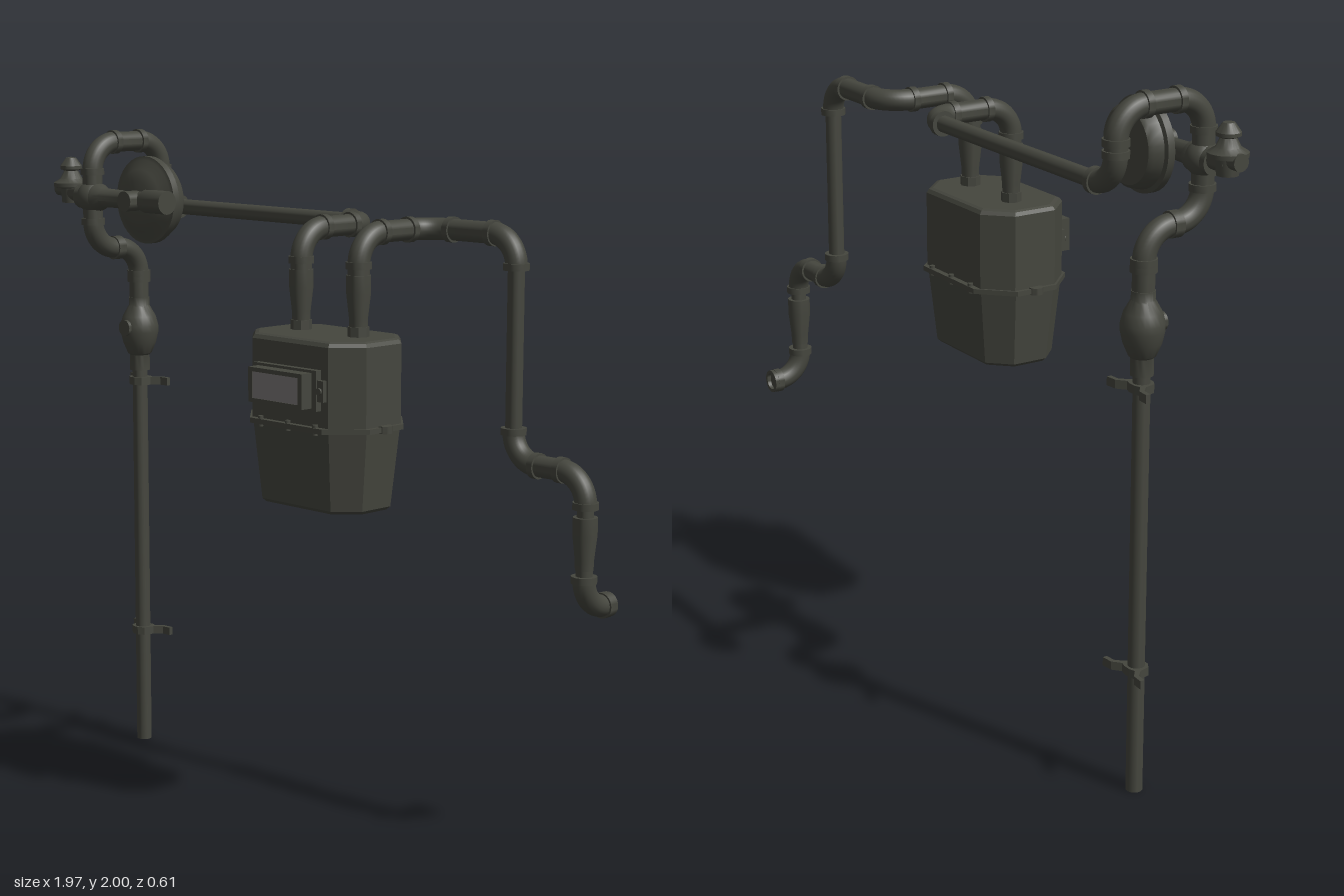
import * as THREE from 'three';
import { toCreasedNormals } from 'three/addons/utils/BufferGeometryUtils.js';

const V = (x, y, z) => new THREE.Vector3(x, y, z);
const UP = V(0, 1, 0);

export function createModel() {
  const root = new THREE.Group();
  const metal = new THREE.MeshStandardMaterial({ color: 0x45463e });
  metal.name = 'dark grey metal';
  const glass = new THREE.MeshStandardMaterial({ color: 0x7d7878 });
  glass.name = 'pale grey window';

  const add = (name, geometry, parent = root, material = metal) => {
    const mesh = new THREE.Mesh(geometry, material);
    mesh.name = name;
    parent.add(mesh);
    return mesh;
  };
  const group = (name) => {
    const g = new THREE.Group();
    g.name = name;
    root.add(g);
    return g;
  };
  // Turned part: [radius, distance] profile starting at a point, along a direction
  const turned = (name, profile, at, dir, parent, sides = 24) => {
    const lathe = new THREE.LatheGeometry(profile.map(([r, d]) => new THREE.Vector2(r, d)), sides);
    const mesh = add(name, toCreasedNormals(lathe, 0.6), parent);
    mesh.position.copy(at);
    mesh.quaternion.setFromUnitVectors(UP, dir);
    return mesh;
  };
  const rod = (name, a, b, r, parent) => {
    const d = b.clone().sub(a), len = d.length();
    return turned(name, [[0, 0], [r, 0], [r, len], [0, len]], a, d.normalize(), parent);
  };
  const box = (name, w, h, d, x, y, z, parent, material) => {
    const mesh = add(name, new THREE.BoxGeometry(w, h, d), parent, material);
    mesh.position.set(x, y, z);
    return mesh;
  };
  const collar = (at, dir, parent) =>
    rod('collar', at.clone().addScaledVector(dir, -0.01), at.clone().addScaledVector(dir, 0.01), 0.037, parent);

  // Pipe run: straight lengths joined by thicker elbows with collars
  const pipeRun = (name, corners, bend) => {
    const g = group(name);
    let start = corners[0];
    for (let i = 1; i < corners.length; i++) {
      const c = corners[i], inDir = c.clone().sub(corners[i - 1]).normalize();
      const last = i === corners.length - 1;
      const end = last ? c : c.clone().addScaledVector(inDir, -bend);
      const length = start.distanceTo(end);
      if (length > 0.005) rod('straightPipe', start, end, length > 0.2 ? 0.024 : 0.031, g);
      if (last) break;
      const outDir = corners[i + 1].clone().sub(c).normalize();
      const exit = c.clone().addScaledVector(outDir, bend);
      const arc = new THREE.CubicBezierCurve3(end,
        end.clone().addScaledVector(inDir, bend * 0.5523),
        exit.clone().addScaledVector(outDir, -bend * 0.5523), exit);
      add('elbow', new THREE.TubeGeometry(arc, 14, 0.032, 18), g);
      collar(end, inDir, g);
      collar(exit, outDir, g);
      start = exit;
    }
    return g;
  };

  pipeRun('supplyRiserBend', [V(-0.82, 1.47, -0.105), V(-0.82, 1.635, -0.105), V(-0.82, 1.635, 0.08),
    V(-0.82, 1.967, 0.08), V(-0.82, 1.967, -0.2), V(-0.82, 1.76, -0.2), V(0.125, 1.76, -0.2),
    V(0.125, 1.76, 0.09), V(0.125, 1.62, 0.09)], 0.088);
  pipeRun('outletPipe', [V(0.355, 1.62, 0.09), V(0.355, 1.76, 0.09), V(0.355, 1.76, -0.2),
    V(0.685, 1.76, -0.2), V(0.685, 1.12, -0.2), V(0.95, 1.12, -0.2), V(0.95, 0.735, -0.2),
    V(0.95, 0.735, -0.29)], 0.088);
  turned('outletEnd', [[0, 0], [0.036, 0], [0.036, 0.025], [0.026, 0.025], [0.026, 0.005], [0, 0.005]],
    V(0.95, 0.735, -0.285), V(0, 0, -1));

  // Tapered couplings above the meter and near the outlet
  const taper = [[0, 0], [0.026, 0], [0.027, 0.03], [0.035, 0.1], [0.035, 0.15], [0, 0.15]];
  for (const x of [0.125, 0.355]) {
    turned('taperedCoupling', taper, V(x, 1.495, 0.09), UP);
    turned('unionNut', [[0, 0], [0.031, 0], [0.031, 0.032], [0, 0.032]], V(x, 1.468, 0.09), UP, undefined, 8);
  }
  turned('outletCoupling', taper, V(0.95, 0.85, -0.2), UP);

  // Ground riser with ball valve
  const riser = group('riser');
  rod('riserPipe', V(-0.82, 0, -0.105), V(-0.82, 1.56, -0.105), 0.024, riser);
  turned('valveBody', [[0, 0], [0.032, 0], [0.032, 0.05], [0.038, 0.055], [0.053, 0.09], [0.061, 0.125],
    [0.061, 0.145], [0.053, 0.175], [0.036, 0.205], [0.033, 0.21], [0.033, 0.235], [0, 0.235]],
  V(-0.82, 1.235, -0.105), UP, riser);
  rod('valveSpindle', V(-0.82, 1.375, -0.09), V(-0.82, 1.375, -0.04), 0.026, riser);
  collar(V(-0.82, 1.53, -0.105), UP, riser);

  // Wall straps with swept-back wings
  const half = [[0.01, 0.032], [0.03, 0.02], [0.038, -0.012], [0.06, -0.034], [0.09, -0.036],
    [0.09, -0.05], [0.055, -0.047], [0.03, -0.026], [0.012, -0.032]];
  const outline = [...half, ...half.map(([x, z]) => [-x, z]).reverse()];
  const strapShape = new THREE.Shape(outline.map(([x, z]) => new THREE.Vector2(x, -z)));
  for (const y of [0.36, 1.188]) {
    const strap = add('wallStrap', new THREE.ExtrudeGeometry(strapShape, { depth: 0.025, bevelEnabled: false }), riser);
    strap.rotation.x = -Math.PI / 2;
    strap.position.set(-0.82, y, -0.105);
  }

  // Pressure regulator: diaphragm disc, body and relief valve
  const reg = group('regulator');
  const X = V(1, 0, 0), Z = V(0, 0, 1);
  turned('diaphragmHousing', [[0, 0], [0.105, 0], [0.115, 0.01], [0.122, 0.04], [0.134, 0.044], [0.134, 0.066],
    [0.122, 0.068], [0.095, 0.088], [0.06, 0.1], [0, 0.1]], V(-0.603, 1.8, -0.015), Z, reg, 36);
  rod('frontCap', V(-0.603, 1.8, 0.07), V(-0.603, 1.8, 0.137), 0.031, reg);
  turned('regulatorBody', [[0, 0], [0.038, 0], [0.038, 0.04], [0.042, 0.05], [0.042, 0.09], [0.03, 0.11],
    [0.027, 0.22], [0.03, 0.3], [0.036, 0.31], [0.036, 0.405], [0, 0.405]], V(-0.872, 1.8, 0.08), X, reg);
  const tee = add('teeJoint', new THREE.SphereGeometry(0.05, 24, 16), reg);
  tee.position.set(-0.82, 1.8, 0.08);
  rod('reliefArm', V(-0.94, 1.81, 0.08), V(-0.85, 1.81, 0.08), 0.03, reg);
  turned('reliefValve', [[0, 0], [0.03, 0], [0.034, 0.045], [0.056, 0.05], [0.056, 0.062], [0.035, 0.075],
    [0.022, 0.1], [0.034, 0.105], [0.034, 0.115], [0.016, 0.14], [0, 0.143]], V(-0.925, 1.777, 0.08), UP, reg);
  rod('reliefStub', V(-0.982, 1.82, 0.08), V(-0.93, 1.82, 0.08), 0.024, reg);

  // Meter casing: stacked chamfered rectangles [half width, half depth, chamfer, y]
  const meter = group('meter');
  const casing = (name, rings) => {
    const loops = rings.map(([w, d, c, y]) => [[w, -d + c], [w, d - c], [w - c, d], [-w + c, d],
      [-w, d - c], [-w, -d + c], [-w + c, -d], [w - c, -d]].map(([x, z]) => [x, y, z]));
    const pos = [], top = loops.length - 1;
    for (let k = 0; k < 8; k++) {
      const n = (k + 1) % 8;
      for (let i = 0; i < top; i++) {
        const a = loops[i][k], b = loops[i][n], c = loops[i + 1][n], d = loops[i + 1][k];
        pos.push(...a, ...d, ...c, ...a, ...c, ...b);
      }
      pos.push(0, rings[0][3], 0, ...loops[0][k], ...loops[0][n]);
      pos.push(0, rings[top][3], 0, ...loops[top][n], ...loops[top][k]);
    }
    const geo = new THREE.BufferGeometry();
    geo.setAttribute('position', new THREE.Float32BufferAttribute(pos, 3));
    geo.computeVertexNormals();
    add(name, geo, meter).position.set(0.237, 0, 0.1);
  };
  casing('lowerCasing', [[0.192, 0.11, 0.06, 0.98], [0.202, 0.12, 0.063, 0.99], [0.227, 0.142, 0.075, 1.218]]);
  casing('flange', [[0.24, 0.163, 0.095, 1.215], [0.24, 0.163, 0.095, 1.23]]);
  casing('upperCasing', [[0.228, 0.145, 0.075, 1.225], [0.228, 0.145, 0.075, 1.457], [0.222, 0.138, 0.072, 1.468],
    [0.212, 0.128, 0.068, 1.472]]);
  for (const s of [-1, 1]) {
    rod('flangeLug', V(0.237 + s * 0.233, 1.212, 0.1), V(0.237 + s * 0.233, 1.233, 0.1), 0.022, meter);
    for (const x of [-0.11, 0, 0.11])
      rod('flangeBolt', V(0.237 + x, 1.208, 0.1 + s * 0.153), V(0.237 + x, 1.238, 0.1 + s * 0.153), 0.008, meter);
  }

  // Counter box with its mounting ears and window
  box('counterPlate', 0.25, 0.115, 0.03, 0.237, 1.335, 0.25, meter);
  box('counterBox', 0.215, 0.1, 0.06, 0.237, 1.335, 0.268, meter);
  for (const s of [-1, 1]) {
    box('counterEar', 0.035, 0.06, 0.02, 0.237 + s * 0.13, 1.335, 0.25, meter);
    rod('counterScrew', V(0.237 + s * 0.134, 1.335, 0.25), V(0.237 + s * 0.134, 1.335, 0.266), 0.01, meter);
    box('counterFrameSide', 0.015, 0.1, 0.008, 0.237 + s * 0.1, 1.335, 0.3, meter);
    box('counterFrameBar', 0.2, 0.012, 0.008, 0.237, 1.335 + s * 0.044, 0.3, meter);
  }
  box('counterWindow', 0.185, 0.076, 0.004, 0.237, 1.335, 0.299, meter, glass);

  return root;
}
